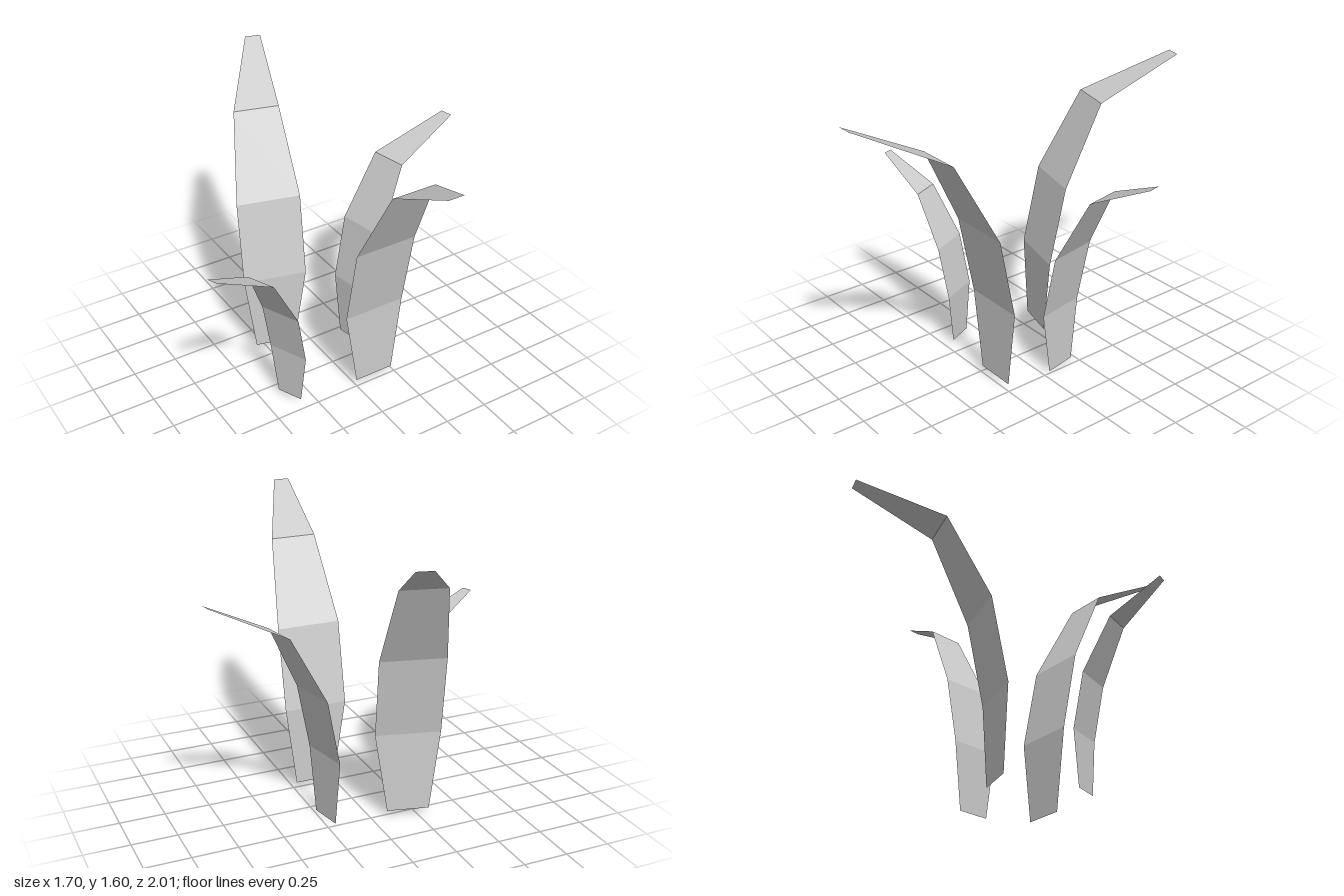
import * as THREE from 'three';

// Leaf cross-sections from tip to base: height, sideways shift, half width, outward bend
const SECTIONS = [
  [1.57, -0.11, 0.043, 0.757],
  [1.345, -0.007, 0.125, 0.315],
  [0.9, 0, 0.178, 0.09],
  [0.45, 0, 0.178, 0],
  [0, 0.007, 0.115, 0],
];

// A thin strip bent outward toward +z
function leafGeometry() {
  const geo = new THREE.PlaneGeometry(1, 1, 1, SECTIONS.length - 1);
  const pos = geo.attributes.position;
  SECTIONS.forEach(([y, shift, half, out], i) => {
    pos.setXYZ(2 * i, shift - half, y, out);
    pos.setXYZ(2 * i + 1, shift + half, y, out);
  });
  geo.computeVertexNormals();
  return geo;
}

export function createModel() {
  const group = new THREE.Group();
  group.name = 'leafCluster';
  const material = new THREE.MeshStandardMaterial({
    color: 0xcccccc, flatShading: true, side: THREE.DoubleSide,
  });
  const geometry = leafGeometry();

  // name, base position, turn about y, scale
  const leaves = [
    ['frontLeaf', [0.112, 0.033, 0.24], 0, 1],
    ['backLeaf', [-0.193, 0.033, -0.296], 2.889, 1],
    ['leftLeaf', [0.217, 0, -0.132], 1.762, 0.818],
    ['rightLeaf', [-0.363, 0.02, 0.128], -1.155, 0.648],
  ];
  for (const [name, position, turn, scale] of leaves) {
    const leaf = new THREE.Mesh(geometry, material);
    leaf.name = name;
    leaf.position.set(...position);
    leaf.rotation.y = turn;
    leaf.scale.setScalar(scale);
    group.add(leaf);
  }
  return group;
}
